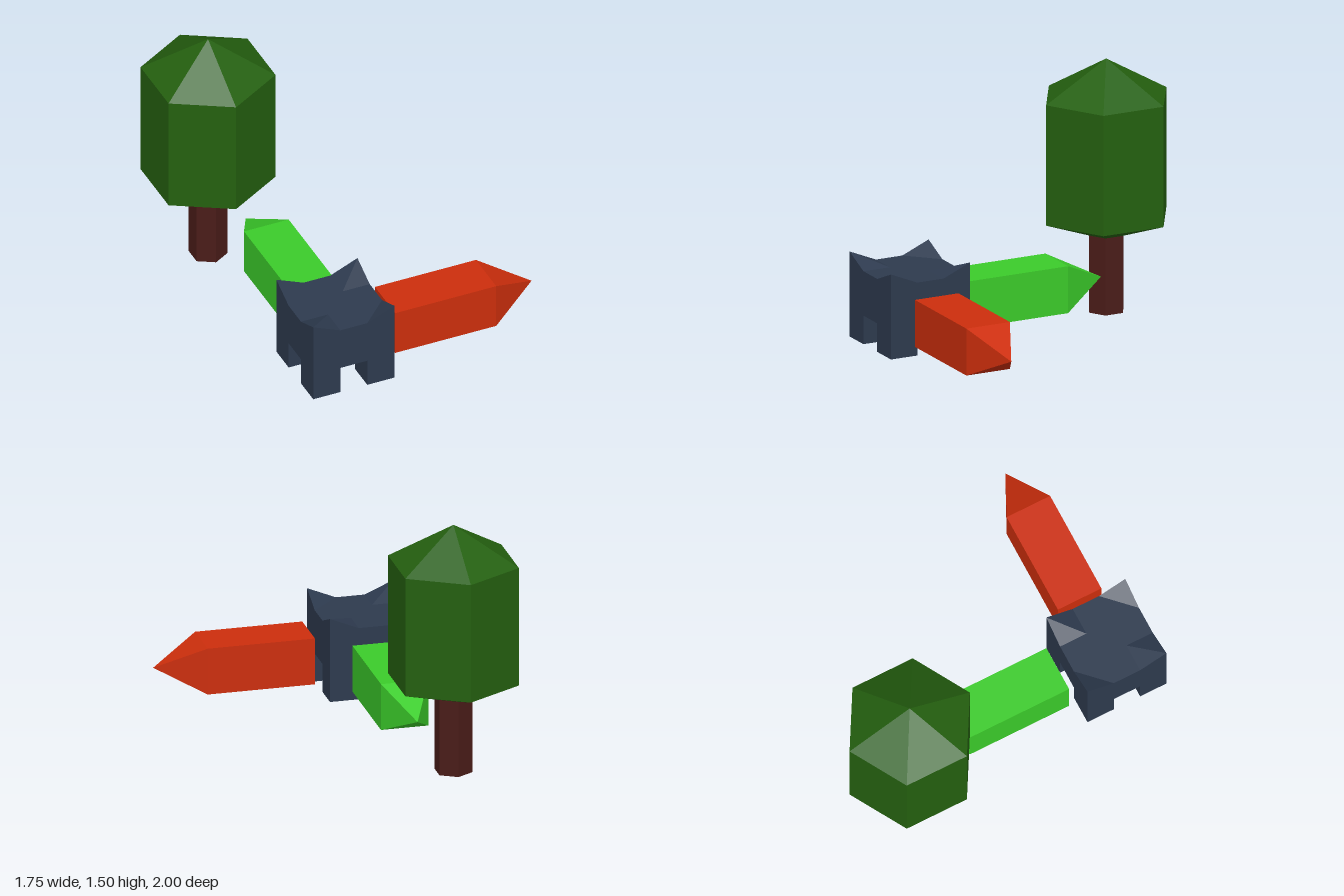
import * as THREE from 'three';

const flatMesh = (name, geometry, color) => {
  const geo = geometry.index ? geometry.toNonIndexed() : geometry;
  geo.computeVertexNormals();
  const mesh = new THREE.Mesh(geo, new THREE.MeshStandardMaterial({ color, flatShading: true }));
  mesh.name = name;
  return mesh;
};

// Faceted solid of revolution from [radius, height] pairs, bottom to top
const faceted = (profile, sides, phi = 0) =>
  new THREE.LatheGeometry(profile.map(([r, y]) => new THREE.Vector2(r, y)), sides, phi);

function createTree() {
  const tree = new THREE.Group();
  tree.name = 'tree';
  tree.add(flatMesh('trunk', faceted([[0, 0], [0.112, 0], [0.112, 0.5], [0, 0.5]], 6), 0x4a1c18));
  tree.add(flatMesh('foliage',
    faceted([[0, 0.46], [0.112, 0.46], [0.387, 0.557], [0.387, 1.275], [0, 1.5]], 6), 0x24600f));
  tree.position.set(-0.54, 0, -0.613);
  return tree;
}

// Four-legged block whose top corners are pulled up into points
function createBlock() {
  const block = new THREE.Group();
  block.name = 'block';
  const w = 0.508, bottom = 0.22, top = 0.485, foot = 0.05, color = 0x2d3a4e;

  const body = new THREE.BoxGeometry(w, top - bottom, w, 3, 1, 3);
  body.translate(0, (top + bottom) / 2, 0);
  const p = body.attributes.position;
  for (let i = 0; i < p.count; i++) {
    const corner = Math.abs(p.getX(i)) > w * 0.49 && Math.abs(p.getZ(i)) > w * 0.49;
    if (corner && p.getY(i) > 0.4) p.setY(i, 0.557);
  }
  block.add(flatMesh('blockBody', body, color));

  for (const sx of [-1, 1]) for (const sz of [-1, 1]) {
    const leg = flatMesh('leg', new THREE.BoxGeometry(w / 3, bottom - foot, w / 3), color);
    leg.position.set(sx * w / 3, (bottom + foot) / 2, sz * w / 3);
    block.add(leg);
  }
  block.position.set(-0.36, 0, 0.746);
  return block;
}

// Square bar with a pyramid tip, pointing along +y before it is turned
function createPointer(name, color) {
  const r = 0.14 * Math.SQRT2;
  return flatMesh(name, faceted([[0, 0], [r, 0], [r, 0.633], [0, 0.918]], 4, Math.PI / 4), color);
}

export function createModel() {
  const model = new THREE.Group();
  model.name = 'blockWithPointersAndTree';

  const sidePointer = createPointer('sidePointer', 0xcc2e0c);
  sidePointer.rotation.z = -Math.PI / 2;
  sidePointer.position.set(-0.045, 0.265, 0.738);

  const backPointer = createPointer('backPointer', 0x3bcb2a);
  backPointer.rotation.x = -Math.PI / 2;
  backPointer.position.set(-0.362, 0.265, 0.432);

  model.add(createTree(), createBlock(), sidePointer, backPointer);
  return model;
}
